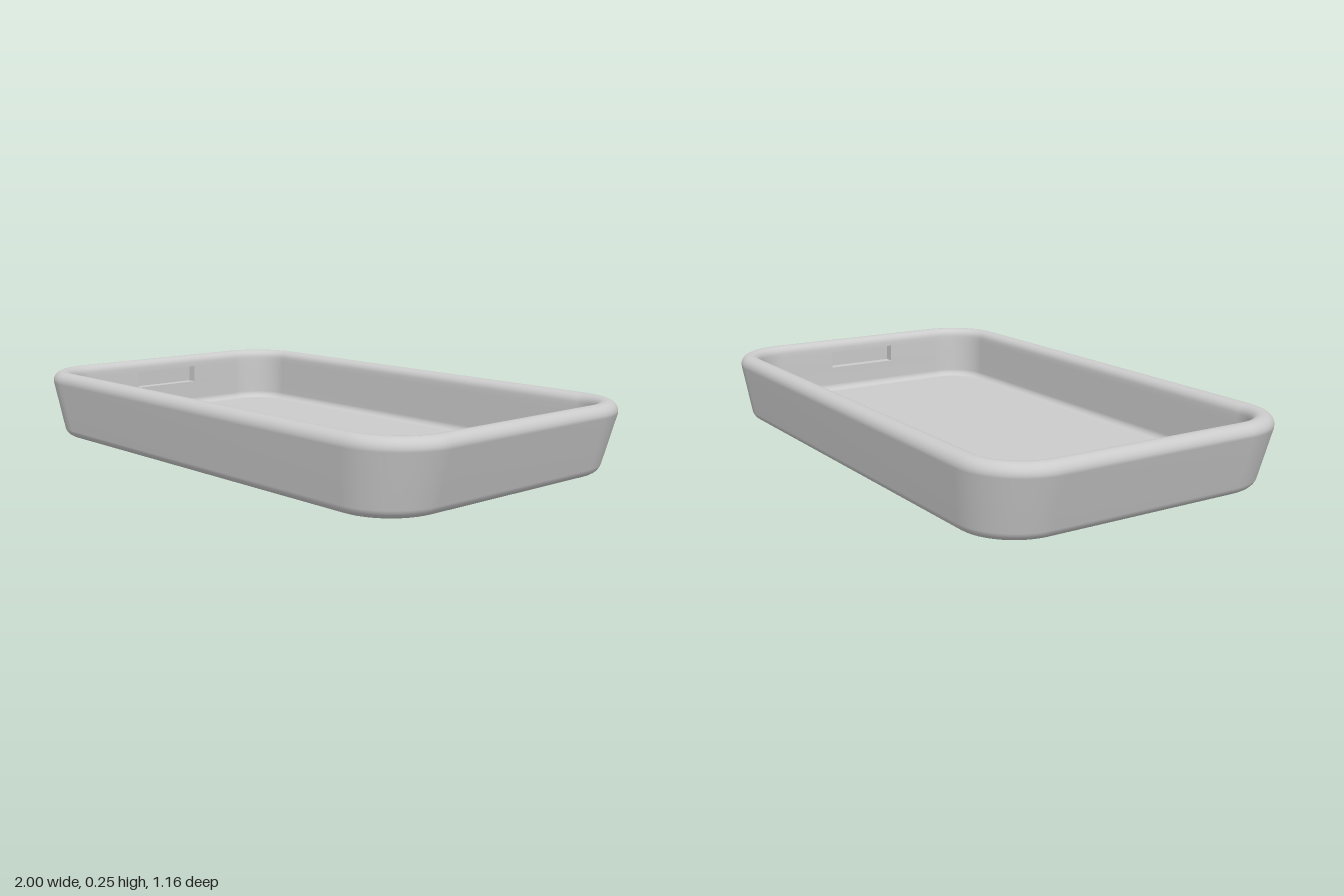
import * as THREE from 'three';

const HX = 1, HZ = 0.58, CORNER = 0.22;      // outer half sizes and corner radius at the rim
const SLOT = { half: 0.14, low: 0.135, high: 0.2, inner: 0.926, outer: 0.963 };
const SEG = 12;                              // segments per rounded corner

// Rounded rectangle loop with extra points at the slot edges on both ends
function loop(hx, hz, r, y) {
  const pts = [];
  const s = Math.min(SLOT.half, hz - r);
  const corner = (q) => {
    const sx = q === 0 || q === 3 ? 1 : -1, sz = q < 2 ? 1 : -1;
    for (let i = 0; i <= SEG; i++) {
      const a = (q + i / SEG) * Math.PI / 2;
      pts.push([sx * (hx - r) + r * Math.cos(a), y, sz * (hz - r) + r * Math.sin(a)]);
    }
  };
  pts.push([hx, y, -s], [hx, y, s]);
  corner(0); corner(1);
  pts.push([-hx, y, s], [-hx, y, -s]);
  corner(2); corner(3);
  return pts;
}

// Wall profile as [inset, height], from the underside over the rim to the floor
function wallProfile() {
  const rows = [];
  const arc = (d, y, r, from, to, n = 6) => {
    for (let i = 0; i <= n; i++) {
      const a = THREE.MathUtils.degToRad(from + (to - from) * i / n);
      rows.push([d - r * Math.cos(a), y + r * Math.sin(a)]);
    }
  };
  arc(0.058, 0.035, 0.035, -90, -8);         // bottom edge
  arc(0.035, 0.21, 0.035, -8, 90);           // outer rim
  const outerCount = rows.length;
  arc(0.042, 0.215, 0.03, 90, 180);          // inner rim
  rows.push([0.073, SLOT.high], [0.074, SLOT.low]);
  const slotRow = rows.length - 2;
  for (let i = 0; i <= 6; i++) {             // floor fillet
    const a = i / 6 * Math.PI / 2;
    rows.push([0.1 - 0.025 * Math.cos(a), 0.065 - 0.025 * Math.sin(a)]);
  }
  return { rows, outerCount, slotRow };
}

function trayGeometry() {
  const { rows, outerCount, slotRow } = wallProfile();
  const rings = rows.map(([d, y], i) => {
    // the short ends lean out more than the long sides
    const lean = i < outerCount ? 0.035 * Math.max(0, 1 - y / 0.21) : 0;
    return loop(HX - d - lean, HZ - d, CORNER - d, y);
  });
  // close the underside and the floor, with a flat border to keep shading crisp
  const first = rows[0], last = rows[rows.length - 1];
  rings.unshift(loop(0, 0, 0, first[1]), loop(0.85, 0.5, 0.14, first[1]));
  rings.push(loop(0.87, 0.45, 0.1, last[1]), loop(0, 0, 0, last[1]));

  const n = rings[0].length, index = [];
  const leftSlot = 2 + 2 * (SEG + 1);
  for (let i = 0; i < rings.length - 1; i++) {
    for (let j = 0; j < n; j++) {
      if (i === slotRow + 2 && (j === 0 || j === leftSlot)) continue; // slot openings
      const k = (j + 1) % n;
      const a = i * n + j, b = i * n + k, c = b + n, d = a + n;
      index.push(a, d, c, a, c, b);
    }
  }
  const geo = new THREE.BufferGeometry();
  geo.setAttribute('position', new THREE.Float32BufferAttribute(rings.flat(2), 3));
  geo.setIndex(index);
  geo.computeVertexNormals();
  return geo;
}

// Pocket lining: a box seen from inside, without the face toward the tray
function slotGeometry() {
  const { half, low, high, inner, outer } = SLOT;
  const geo = new THREE.BoxGeometry(outer - inner, high - low, half * 2);
  const idx = Array.from(geo.index.array);
  idx.splice(6, 6);
  // reverse the winding and normals so the inside shows
  for (let i = 0; i < idx.length; i += 3) [idx[i], idx[i + 1]] = [idx[i + 1], idx[i]];
  geo.setIndex(idx);
  geo.clearGroups();
  geo.attributes.normal.array.forEach((v, i, arr) => { arr[i] = -v; });
  geo.translate((inner + outer) / 2, (low + high) / 2, 0);
  return geo;
}

export function createModel() {
  const group = new THREE.Group();
  group.name = 'tray';
  const material = new THREE.MeshStandardMaterial({ color: 0xcccccc });

  const body = new THREE.Mesh(trayGeometry(), material);
  body.name = 'trayBody';
  group.add(body);

  // Finger slots inside both ends
  const slot = slotGeometry();
  ['leftSlot', 'rightSlot'].forEach((name, i) => {
    const mesh = new THREE.Mesh(slot, material);
    mesh.name = name;
    mesh.rotation.y = i * Math.PI;
    group.add(mesh);
  });
  return group;
}
